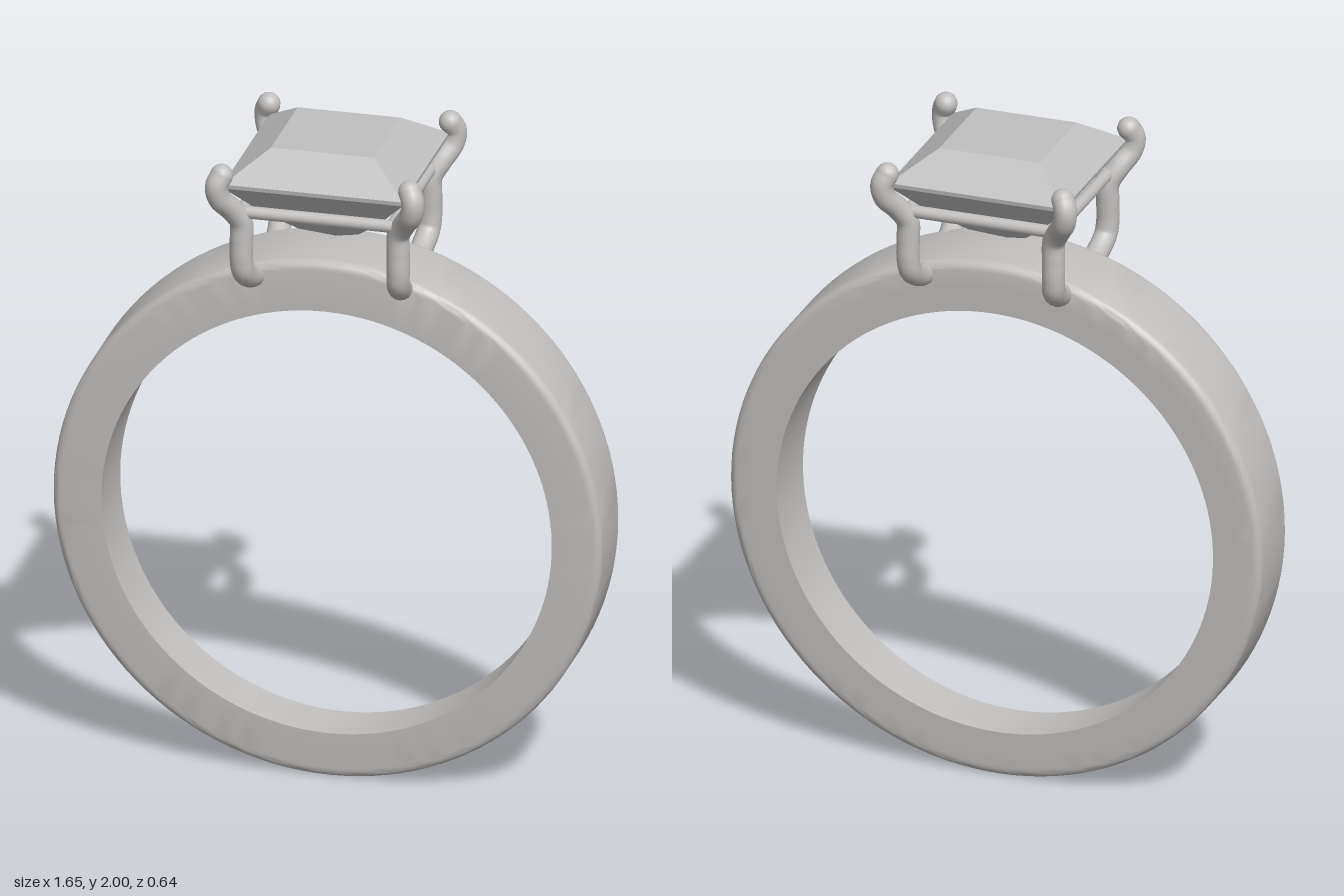
import * as THREE from 'three';
import { toCreasedNormals } from 'three/addons/utils/BufferGeometryUtils.js';

export function createModel() {
  const metal = new THREE.MeshStandardMaterial({ color: 0xc2c0be });
  metal.name = 'silver metal';
  const crystal = new THREE.MeshStandardMaterial({ color: 0xc0c0c0, flatShading: true });
  crystal.name = 'pale crystal';

  const model = new THREE.Group();
  model.name = 'ring';
  const add = (geometry, material, name, parent = model) => {
    const mesh = new THREE.Mesh(geometry, material);
    mesh.name = name;
    parent.add(mesh);
    return mesh;
  };

  // Band: a rounded rectangular section, narrowing towards the bottom
  const inner = 0.675, outer = 0.823, fillet = 0.028;
  const profile = [new THREE.Vector2(inner, -1), new THREE.Vector2((inner + outer) / 2, -1)];
  for (const side of [-1, 1]) {
    for (let i = 0; i <= 5; i++) {
      const a = (i / 5) * Math.PI / 2;
      const t = side < 0 ? a : Math.PI / 2 - a;
      profile.push(new THREE.Vector2(
        outer - fillet + fillet * Math.sin(t),
        side * (0.8 + 0.2 * Math.cos(t))));
    }
  }
  profile.push(new THREE.Vector2(inner, 1), new THREE.Vector2(inner, -1));
  const band = new THREE.LatheGeometry(profile, 120);
  band.rotateX(Math.PI / 2);
  const p = band.attributes.position;
  for (let i = 0; i < p.count; i++) {
    const x = p.getX(i), r = Math.hypot(x, p.getY(i));
    const y = p.getY(i) + 0.825 - (r < inner + 0.01 ? 0.009 : 0);
    p.setXYZ(i, x, y, p.getZ(i) * (0.079 + 0.038 * y));
  }
  add(toCreasedNormals(band, 0.7), metal, 'band');

  // Square-cut stone: stacked square sections from tip to table
  const gem = [[0, 1.675], [0.09, 1.725], [0.17, 1.797], [0.205, 1.835],
    [0.268, 1.905], [0.27, 1.918], [0.155, 2], [0, 2]]
    .map(([half, y]) => new THREE.Vector2(half * Math.SQRT2, y));
  add(new THREE.LatheGeometry(gem, 4, Math.PI / 4), crystal, 'stone');

  // Four claws, bent out under the stone and hooked over its corners
  const setting = new THREE.Group();
  setting.name = 'setting';
  model.add(setting);
  const radius = 0.034;
  const path = [[0.212, 1.58, 0.12], [0.216, 1.595, 0.17], [0.222, 1.63, 0.218], [0.225, 1.67, 0.228],
    [0.225, 1.73, 0.228], [0.226, 1.79, 0.229], [0.25, 1.835, 0.25],
    [0.278, 1.88, 0.282], [0.284, 1.92, 0.288], [0.272, 1.95, 0.276]];
  for (const sx of [-1, 1]) {
    for (const sz of [-1, 1]) {
      const shift = sx > 0 && sz > 0 ? 0.016 : 0;
      const points = path.map(([x, y, z]) =>
        new THREE.Vector3(sx * (x + shift), y, sz * (z - shift)));
      const curve = new THREE.CatmullRomCurve3(points, false, 'centripetal');
      const claw = new THREE.Group();
      claw.name = 'claw';
      setting.add(claw);
      add(new THREE.TubeGeometry(curve, 48, radius, 16), metal, 'clawWire', claw);
      for (const [end, name] of [[points[0], 'clawFoot'], [points[points.length - 1], 'clawTip']]) {
        add(new THREE.SphereGeometry(radius, 16, 12), metal, name, claw).position.copy(end);
      }
    }
  }

  // Square gallery of four rails joining the claws
  for (let i = 0; i < 4; i++) {
    const rail = new THREE.CylinderGeometry(0.019, 0.019, 0.46, 14);
    rail.rotateZ(Math.PI / 2);
    rail.translate(0, 1.82, 0.226);
    rail.rotateY(i * Math.PI / 2);
    add(rail, metal, 'galleryRail', setting);
  }

  return model;
}
